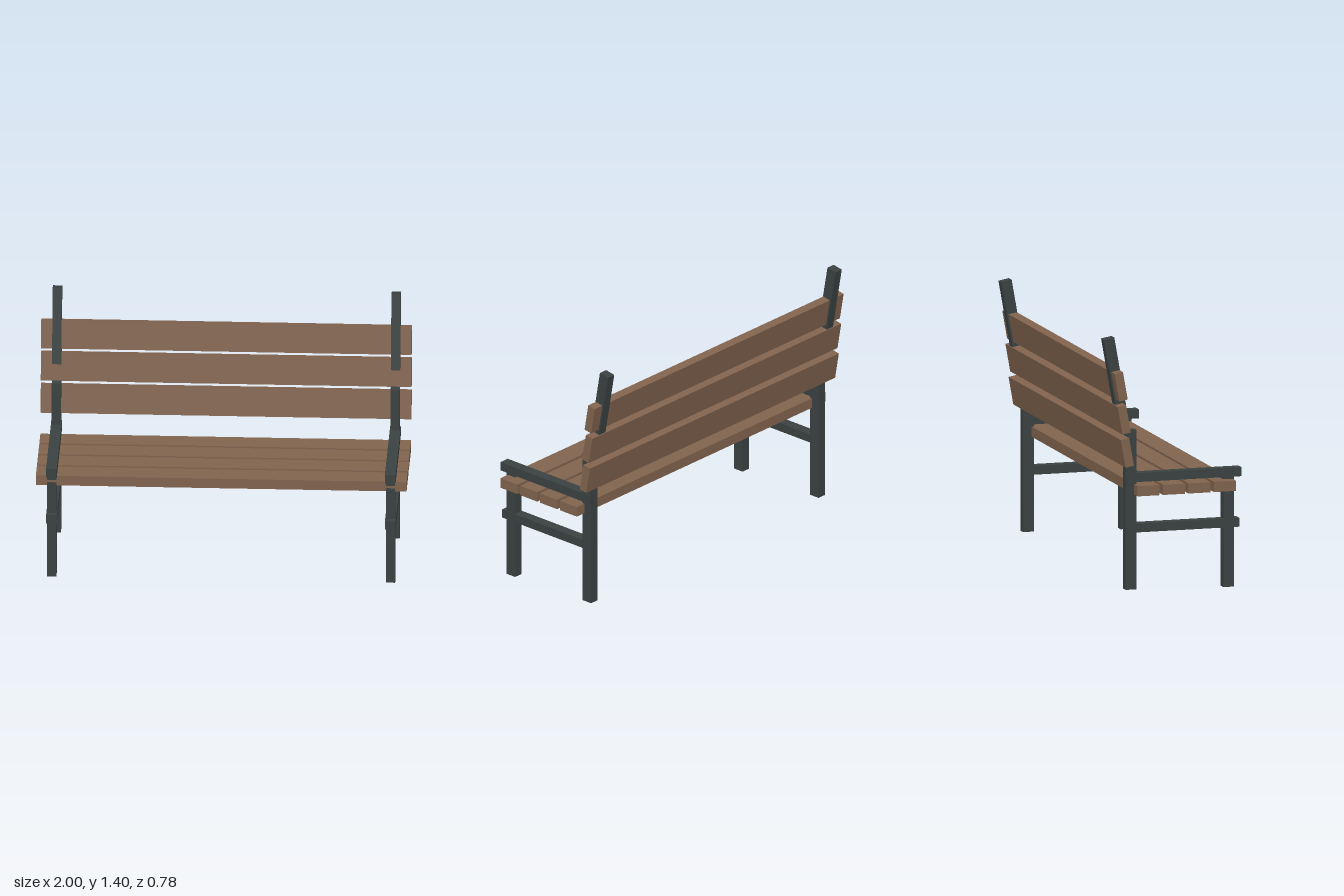
import * as THREE from 'three';

export function createModel() {
  const model = new THREE.Group();
  model.name = 'parkBench';
  const wood = new THREE.MeshStandardMaterial({ color: 0x80634e });
  wood.name = 'brown wood';
  const iron = new THREE.MeshStandardMaterial({ color: 0x3a4141 });
  iron.name = 'dark iron';
  const LEAN = -THREE.MathUtils.degToRad(10.1);

  // Box given by its size and centre, optionally leaning back
  function bar(parent, name, material, [w, h, d], [x, y, z], lean = 0) {
    const mesh = new THREE.Mesh(new THREE.BoxGeometry(w, h, d), material);
    mesh.name = name;
    mesh.position.set(x, y, z);
    mesh.rotation.x = lean;
    parent.add(mesh);
  }

  // Upright or level bar given by its y and z ranges
  function frameBar(parent, name, width, [y0, y1], [z0, z1]) {
    bar(parent, name, iron, [width, y1 - y0, z1 - z0], [0, (y0 + y1) / 2, (z0 + z1) / 2]);
  }

  // Side frames
  for (const side of [-1, 1]) {
    const frame = new THREE.Group();
    frame.name = side > 0 ? 'leftFrame' : 'rightFrame';
    frame.position.x = side * 0.914;
    frameBar(frame, 'frontLeg', 0.05, [0, 0.553], [0.288, 0.349]);
    frameBar(frame, 'armrestSupport', 0.05, [0.57, 0.605], [0.288, 0.349]);
    frameBar(frame, 'backLeg', 0.05, [0.015, 0.888], [-0.264, -0.203]);
    frameBar(frame, 'armrest', 0.058, [0.603, 0.652], [-0.262, 0.39]);
    frameBar(frame, 'lowerRail', 0.058, [0.327, 0.375], [-0.206, 0.378]);
    bar(frame, 'backPost', iron, [0.05, 0.4235, 0.06], [0, 1.188, -0.321], LEAN);
    model.add(frame);
  }

  // Seat slats, front to back
  for (let i = 0; i < 4; i++) {
    bar(model, 'seatSlat', wood, [2, 0.056, 0.124], [0, 0.563, 0.278 - i * 0.144]);
  }

  // Backrest slats, bottom to top
  for (let i = 0; i < 3; i++) {
    bar(model, 'backSlat', wood, [2, 0.155, 0.048], [0, 0.777 + i * 0.182, -0.274 - i * 0.0175], LEAN);
  }

  return model;
}
